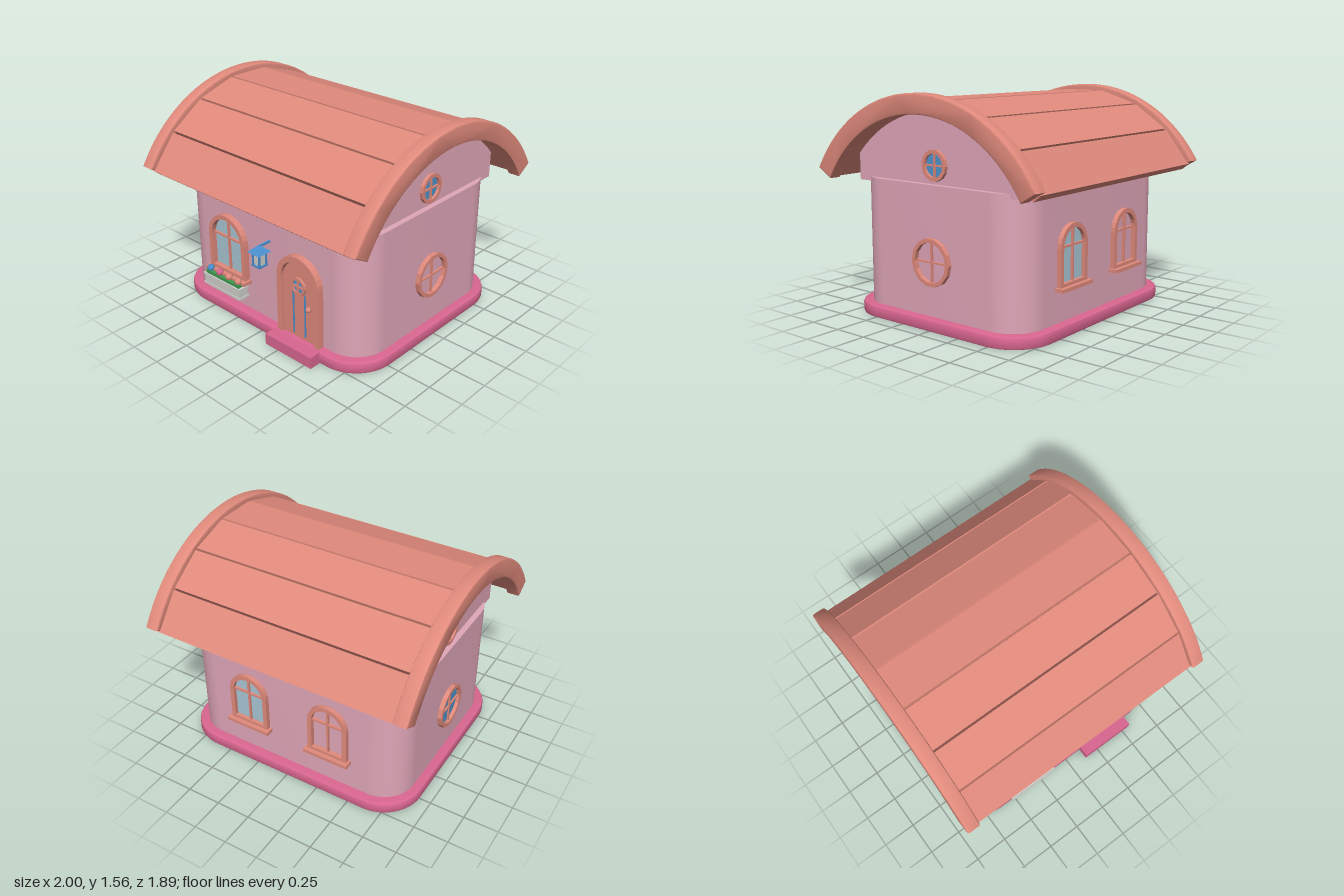
import * as THREE from 'three';
import { toCreasedNormals } from 'three/addons/utils/BufferGeometryUtils.js';

const mat = (name, color, side = THREE.FrontSide) => {
  const m = new THREE.MeshStandardMaterial({ color, side });
  m.name = name;
  return m;
};

export function createModel() {
  const wallPink = mat('wallPink', 0xe0a6b8);
  const terracotta = mat('terracotta', 0xe08a7c);
  const rosePink = mat('rosePink', 0xd9668f);
  const blue = mat('blue', 0x4a8fcf);
  const paleGlass = mat('paleGlass', 0xa9c6d4, THREE.DoubleSide);
  const blueGlass = mat('blueGlass', 0x4f94cc, THREE.DoubleSide);
  const lightGrey = mat('lightGrey', 0xd0d0cc);
  const leafGreen = mat('leafGreen', 0x3f9a50);

  const model = new THREE.Group();
  model.name = 'cottage';

  const add = (parent, name, geometry, material, x = 0, y = 0, z = 0) => {
    const mesh = new THREE.Mesh(geometry, material);
    mesh.name = name;
    mesh.position.set(x, y, z);
    parent.add(mesh);
    return mesh;
  };
  const box = (parent, name, w, h, d, material, x, y, z) =>
    add(parent, name, new THREE.BoxGeometry(w, h, d), material, x, y, z);
  const group = (name, x, y, z, turn = 0) => {
    const g = new THREE.Group();
    g.name = name;
    g.position.set(x, y, z);
    g.rotation.y = turn;
    model.add(g);
    return g;
  };

  // Extrusion along z, with an optional bevel kept inside the given outline
  const extrude = (shape, depth, bevel = 0, curveSegments = 8) =>
    new THREE.ExtrudeGeometry(shape, {
      depth: depth - 2 * bevel, curveSegments, bevelEnabled: bevel > 0,
      bevelSize: bevel, bevelThickness: bevel, bevelOffset: -bevel, bevelSegments: 2,
    }).translate(0, 0, bevel);

  const roundedRect = (hx, hz, r) => {
    const s = new THREE.Shape();
    s.moveTo(-hx + r, -hz);
    s.absarc(hx - r, -hz + r, r, -Math.PI / 2, 0);
    s.absarc(hx - r, hz - r, r, 0, Math.PI / 2);
    s.absarc(-hx + r, hz - r, r, Math.PI / 2, Math.PI);
    s.absarc(-hx + r, -hz + r, r, Math.PI, Math.PI * 1.5);
    return s;
  };
  const slab = (hx, hz, r, height, bevel) =>
    toCreasedNormals(extrude(roundedRect(hx, hz, r), height, bevel, 12).rotateX(-Math.PI / 2), 0.6);

  // Upright outline with a half-round top
  const arch = (half, bottom, spring) => {
    const s = new THREE.Shape();
    s.moveTo(-half, bottom);
    s.lineTo(half, bottom);
    s.lineTo(half, spring);
    s.absarc(0, spring, half, 0, Math.PI);
    s.closePath();
    return s;
  };
  const disc = (r) => new THREE.Shape().absarc(0, 0, r, 0, Math.PI * 2);
  const frame = (outer, inner, depth) => {
    outer.holes.push(inner);
    return extrude(outer, depth, 0, 7);
  };

  // Base, doorstep and walls
  add(model, 'base', slab(0.92, 0.79, 0.3, 0.085, 0.018), rosePink);
  box(model, 'doorstep', 0.425, 0.083, 0.2, rosePink, 0.347, 0.0415, 0.77);
  add(model, 'walls', slab(0.855, 0.72, 0.24, 0.885, 0), wallPink, 0, 0.08, 0);

  // Gables and curved roof rims share one arc centre
  const arcY = 0.463, rimOuter = 1.097, rimInner = 0.963, rimAngle = 1.038;
  const gableR = 0.975, gableA = Math.asin(0.72 / gableR);
  const gable = new THREE.Shape();
  gable.moveTo(-0.72, 0.935);
  gable.lineTo(0.72, 0.935);
  gable.absarc(0, arcY, gableR, Math.PI / 2 - gableA, Math.PI / 2 + gableA);
  gable.closePath();
  const rim = new THREE.Shape();
  rim.absarc(0, arcY, rimOuter, Math.PI / 2 - rimAngle, Math.PI / 2 + rimAngle);
  rim.absarc(0, arcY, rimInner, Math.PI / 2 + rimAngle, Math.PI / 2 - rimAngle, true);
  rim.closePath();
  const gableGeo = toCreasedNormals(extrude(gable, 0.075, 0, 24).rotateY(Math.PI / 2), 0.5);
  const rimGeo = toCreasedNormals(extrude(rim, 0.1, 0.012, 28).rotateY(Math.PI / 2), 0.5);
  for (const [side, g, r] of [['left', 0.74, 0.9], ['right', -0.815, -1]]) {
    add(model, side + 'Gable', gableGeo, wallPink, g);
    add(model, side + 'RoofRim', rimGeo, terracotta, r);
  }

  // Seven flat planks around the arc
  for (let i = -3; i <= 3; i++) {
    const a = i * 0.3002, d = 1.02;
    box(model, 'roofPlank', 1.84, 0.07, 0.304, terracotta, 0, arcY + d * Math.cos(a), d * Math.sin(a)).rotation.x = a;
  }

  // Arched window; its origin lies on the wall at floor level
  const archedWindow = (name, x, z, turn, half, bottom, spring, depth, glass) => {
    const g = group(name, x, 0, z, turn), inner = half - 0.032;
    add(g, 'windowFrame', frame(arch(half, bottom, spring), arch(inner, bottom + 0.035, spring), depth), terracotta);
    if (glass) add(g, 'glass', new THREE.ShapeGeometry(arch(inner, bottom + 0.035, spring), 7), paleGlass, 0, 0, 0.006);
    const top = spring + inner;
    box(g, 'uprightBar', 0.014, top - bottom, 0.02, terracotta, 0, (top + bottom) / 2, 0.012);
    box(g, 'crossBar', inner * 2, 0.014, 0.02, terracotta, 0, spring + 0.005, 0.012);
    box(g, 'sill', half * 2 + 0.04, 0.025, depth + 0.03, terracotta, 0, bottom, (depth + 0.03) / 2);
  };
  archedWindow('frontWindow', -0.35, 0.72, 0, 0.182, 0.312, 0.59, 0.045, true);
  archedWindow('backLeftWindow', 0.32, -0.72, Math.PI, 0.152, 0.312, 0.58, 0.033, true);
  archedWindow('backRightWindow', -0.32, -0.72, Math.PI, 0.152, 0.312, 0.58, 0.033, false);

  // Round windows on the sides and gables
  const roundWindow = (parent, r, width, depth, glass) => {
    add(parent, 'roundFrame', frame(disc(r), disc(r - width), depth), terracotta);
    if (glass) add(parent, 'glass', new THREE.ShapeGeometry(disc(r - width), 8), blueGlass, 0, 0, 0.006);
    const bar = 2 * (r - width) + 0.01;
    box(parent, 'uprightBar', 0.012, bar, 0.016, terracotta, 0, 0, 0.01);
    box(parent, 'crossBar', bar, 0.012, 0.016, terracotta, 0, 0, 0.01);
  };
  const quarter = Math.PI / 2;
  roundWindow(group('leftRoundWindow', 0.855, 0.457, 0, quarter), 0.163, 0.027, 0.032, false);
  roundWindow(group('rightRoundWindow', -0.855, 0.457, 0, -quarter), 0.163, 0.027, 0.032, true);
  roundWindow(group('leftGableWindow', 0.815, 1.09, 0, quarter), 0.105, 0.026, 0.025, true);
  roundWindow(group('rightGableWindow', -0.815, 1.09, 0, -quarter), 0.105, 0.026, 0.025, false);

  // Door with frame, porthole, inlay strips and knob
  const door = group('door', 0.347, 0, 0.72);
  add(door, 'doorFrame', frame(arch(0.19, 0.08, 0.52), arch(0.15, 0.08, 0.52), 0.05), terracotta);
  add(door, 'doorPanel', extrude(arch(0.143, 0.08, 0.52), 0.028, 0, 7), terracotta);
  const porthole = new THREE.Group();
  porthole.name = 'porthole';
  porthole.position.set(0, 0.49, 0.028);
  door.add(porthole);
  roundWindow(porthole, 0.065, 0.018, 0.016, true);
  for (const x of [-0.053, 0.053]) box(door, 'inlayStrip', 0.011, 0.33, 0.006, blue, x, 0.275, 0.03);
  add(door, 'knob', new THREE.SphereGeometry(0.02, 12, 8), terracotta, 0.098, 0.355, 0.045);

  // Flower box
  const planter = group('flowerBox', -0.353, 0, 0.785);
  box(planter, 'trough', 0.365, 0.07, 0.08, lightGrey, 0, 0.235, 0);
  for (const y of [0.204, 0.276]) box(planter, 'troughRim', 0.382, 0.016, 0.09, lightGrey, 0, y, 0);
  box(planter, 'leaves', 0.345, 0.025, 0.06, leafGreen, 0, 0.295, 0.005);
  [blue, rosePink, terracotta, terracotta].forEach((m, i) =>
    add(planter, 'flower', new THREE.SphereGeometry(0.027, 12, 8), m, -0.145 + i * 0.097, 0.322, 0.01));

  // Wall lantern
  const lantern = group('lantern', 0.05, 0, 0.818);
  box(lantern, 'lanternGlass', 0.054, 0.09, 0.054, lightGrey, 0, 0.615, 0);
  box(lantern, 'lanternFoot', 0.076, 0.012, 0.076, blue, 0, 0.566, 0);
  for (const x of [-0.03, 0.03]) for (const z of [-0.03, 0.03]) {
    box(lantern, 'lanternPost', 0.012, 0.1, 0.012, blue, x, 0.616, z);
  }
  const cap = new THREE.CylinderGeometry(0.01, 0.08, 0.045, 4).rotateY(Math.PI / 4).toNonIndexed();
  cap.computeVertexNormals();
  add(lantern, 'lanternCap', cap, blue, 0, 0.689, 0);
  box(lantern, 'lanternArm', 0.014, 0.014, 0.105, blue, 0, 0.706, -0.05);

  return model;
}
